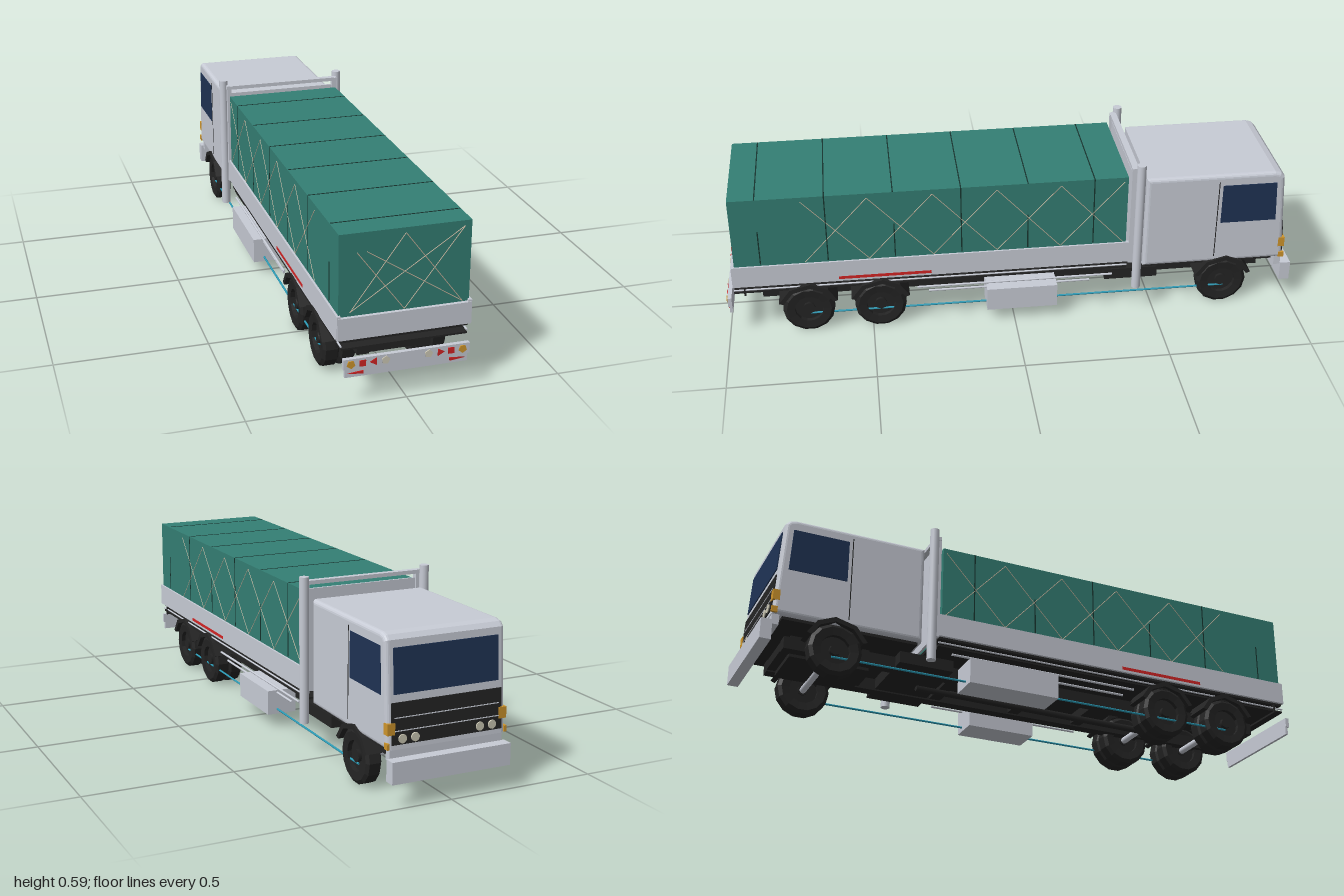
import * as THREE from 'three';

const mat = (name, color) => {
  const m = new THREE.MeshStandardMaterial({ color });
  m.name = name;
  return m;
};

export function createModel() {
  const silver = mat('silver paint', 0xc8ccd6);
  const teal = mat('teal tarpaulin', 0x347f74);
  const seamTeal = mat('dark seam', 0x17352f);
  const black = mat('black', 0x242424);
  const glass = mat('navy glass', 0x1f3354);
  const red = mat('red', 0xd42424);
  const amber = mat('amber', 0xd0962c);
  const cream = mat('cream lamp', 0xd0ccb8);
  const rope = mat('rope', 0xcbb8a0);
  const cyan = mat('cyan pipe', 0x2a9ab5);

  const truck = new THREE.Group();
  truck.name = 'truck';

  const add = (name, geo, m, x = 0, y = 0, z = 0, parent = truck) => {
    const mesh = new THREE.Mesh(geo, m);
    mesh.name = name;
    mesh.position.set(x, y, z);
    parent.add(mesh);
    return mesh;
  };
  // box given by its limits
  const box = (name, m, x0, x1, y0, y1, z0, z1) =>
    add(name, new THREE.BoxGeometry(x1 - x0, y1 - y0, z1 - z0), m, (x0 + x1) / 2, (y0 + y1) / 2, (z0 + z1) / 2);
  // straight round bar between two points
  const bar = (name, m, a, b, r, sides = 14) => {
    const p = new THREE.Vector3(...a), q = new THREE.Vector3(...b);
    const d = q.clone().sub(p);
    const mesh = add(name, new THREE.CylinderGeometry(r, r, d.length(), sides), m);
    mesh.position.copy(p).add(q).multiplyScalar(0.5);
    mesh.quaternion.setFromUnitVectors(new THREE.Vector3(0, 1, 0), d.normalize());
    return mesh;
  };
  // side profile of [z, y] points, extruded across x
  const profile = (name, m, pts, x, width, bevel = 0) => {
    const shape = new THREE.Shape(pts.map(([z, y]) => new THREE.Vector2(z, y)));
    const depth = width - 2 * bevel;
    const geo = new THREE.ExtrudeGeometry(shape, {
      depth, bevelEnabled: bevel > 0, bevelSize: bevel, bevelThickness: bevel, bevelOffset: -bevel, bevelSegments: 4,
    });
    geo.rotateY(-Math.PI / 2);
    return add(name, geo, m, x + depth / 2);
  };

  // cab shell with sloping front
  profile('cab', silver, [[-0.966, 0.175], [-0.945, 0.505], [-0.932, 0.519], [-0.91, 0.525],
    [-0.458, 0.525], [-0.458, 0.175]], 0, 0.41, 0.014);
  box('cabFloor', black, -0.19, 0.19, 0.165, 0.178, -0.93, -0.47);
  const slope = 0.0636;
  const frontPlate = (name, m, x, y, w, h, lift = 0.0005) => {
    const p = add(name, new THREE.BoxGeometry(w, h, 0.006), m, x, y, -0.945 - (0.505 - y) * slope - lift);
    p.rotation.x = slope;
    return p;
  };
  frontPlate('windscreen', glass, 0, 0.412, 0.36, 0.14);
  frontPlate('grille', black, 0, 0.254, 0.38, 0.128);
  for (const y of [0.232, 0.272]) frontPlate('grilleTrim', silver, 0, y, 0.36, 0.003, 0.002);
  for (const s of [-1, 1]) {
    for (const x of [0.112, 0.155]) {
      const lamp = add('headlight', new THREE.CylinderGeometry(0.014, 0.014, 0.008, 14), cream, s * x, 0.208, -0.967);
      lamp.rotation.x = Math.PI / 2;
    }
    box('indicator', amber, s * 0.193 - 0.013, s * 0.193 + 0.013, 0.222, 0.258, -0.968, -0.945);
    box('sideIndicator', amber, s * 0.203 - 0.004, s * 0.203 + 0.004, 0.178, 0.198, -0.97, -0.95);
    profile('sideWindow', glass, [[-0.925, 0.337], [-0.917, 0.485], [-0.727, 0.485], [-0.727, 0.337]], s * 0.2045, 0.006);
    box('doorSeam', black, s * 0.2045 - 0.0015, s * 0.2045 + 0.0015, 0.2, 0.5, -0.715, -0.712);
    box('dripRail', black, s * 0.195 - 0.003, s * 0.195 + 0.003, 0.515, 0.519, -0.9, -0.53);
  }
  box('frontValance', silver, -0.195, 0.195, 0.14, 0.18, -0.964, -0.94);
  box('frontBumper', silver, -0.205, 0.205, 0.08, 0.15, -1, -0.963);

  // chassis
  for (const s of [-1, 1]) {
    box('chassisRail', black, s * 0.1 - 0.02, s * 0.1 + 0.02, 0.1, 0.142, -0.9, 0.88);
    bar('sideRail', silver, [s * 0.2, 0.15, -0.35], [s * 0.2, 0.15, 0.34], 0.004);
    bar('lowerSideRail', silver, [s * 0.19, 0.126, -0.27], [s * 0.19, 0.126, 0.3], 0.004);
    bar('pipe', cyan, [s * 0.19, 0.066, -0.76], [s * 0.19, 0.066, 0.72], 0.0035);
  }
  for (const z of [-0.88, -0.6, -0.3, 0, 0.25, 0.6, 0.86])
    box('crossMember', black, -0.1, 0.1, 0.105, 0.138, z - 0.02, z + 0.02);
  box('gearbox', black, -0.165, 0.165, 0.105, 0.145, -0.52, -0.33);
  box('engine', black, -0.085, 0.085, 0.09, 0.165, -0.87, -0.6);
  bar('driveShaft', black, [0, 0.1, -0.4], [0, 0.09, 0.6], 0.012, 8);
  box('subFloor', black, -0.2, 0.2, 0.173, 0.179, -0.4, 0.97);
  box('rearSill', black, -0.205, 0.205, 0.166, 0.2, 0.93, 0.936);
  box('rightTank', silver, 0.12, 0.226, 0.05, 0.135, -0.15, 0.098);
  box('leftTank', silver, -0.228, -0.12, 0.05, 0.137, -0.295, 0.03);

  // wheels, axles and mudguards
  const tyre = new THREE.LatheGeometry([[0.05, -0.024], [0.078, -0.027], [0.09, -0.019], [0.09, 0.019],
    [0.078, 0.027], [0.05, 0.024], [0.05, -0.024]].map(([r, y]) => new THREE.Vector2(r, y)), 14).toNonIndexed();
  tyre.computeVertexNormals();
  tyre.rotateZ(Math.PI / 2);
  const disc = new THREE.CylinderGeometry(0.051, 0.051, 0.018, 12).rotateZ(Math.PI / 2);
  const hub = new THREE.CylinderGeometry(0.018, 0.022, 0.034, 8).rotateZ(Math.PI / 2);
  const guard = (s, z, x0, x1) => {
    const arc = [20, 55, 95, 130, 160].map((d) => d * Math.PI / 180);
    const ring = (r, list) => list.map((a) => [z + r * Math.cos(a), 0.09 + r * Math.sin(a)]);
    const pts = [...ring(0.108, arc), ...ring(0.092, [...arc].reverse())];
    profile('mudguard', black, pts, s * (x0 + x1) / 2, x1 - x0);
  };
  for (const z of [0.72, 0.47, -0.75]) {
    bar('axle', silver, [-0.17, 0.09, z], [0.17, 0.09, z], 0.012, 8);
    for (const s of [-1, 1]) {
      for (const x of z > 0 ? [0.123, 0.177] : [0.175]) {
        const wheel = new THREE.Group();
        wheel.name = 'wheel';
        wheel.position.set(s * x, 0.09, z);
        truck.add(wheel);
        add('tyre', tyre, black, 0, 0, 0, wheel);
        add('wheelDisc', disc, black, 0, 0, 0, wheel);
        add('hub', hub, black, s * 0.004, 0, 0, wheel);
      }
      guard(s, z, z > 0 ? 0.09 : 0.14, 0.213);
    }
  }

  // load bed
  box('bedFloor', black, -0.203, 0.203, 0.198, 0.21, -0.4, 0.965);
  for (const s of [-1, 1]) {
    box('sideBoard', silver, s * 0.207 - 0.006, s * 0.207 + 0.006, 0.206, 0.285, -0.41, 0.97);
    box('sideReflector', red, s * 0.2125 - 0.001, s * 0.2125 + 0.001, 0.214, 0.225, 0.29, 0.61);
    bar('bedEdge', silver, [s * 0.2, 0.186, -0.4], [s * 0.2, 0.186, 0.97], 0.003);
  }
  box('tailBoard', silver, -0.21, 0.21, 0.206, 0.278, 0.958, 0.972);

  // headboard frame with tall round posts
  for (const s of [-1, 1]) {
    bar('post', silver, [s * 0.221, 0.105, -0.432], [s * 0.221, 0.595, -0.432], 0.016);
    box('headboardUpright', silver, s * 0.205 - 0.008, s * 0.205 + 0.008, 0.2, 0.577, -0.422, -0.402);
  }
  box('headboardTopBar', silver, -0.215, 0.215, 0.565, 0.578, -0.425, -0.403);
  box('headboardPanel', silver, -0.2, 0.2, 0.205, 0.55, -0.416, -0.408);

  // tarpaulin-covered load with seams
  box('tarpaulin', teal, -0.206, 0.206, 0.21, 0.542, -0.392, 0.96);
  for (let i = 0; i < 6; i++) {
    const z = 0.87 - i * 0.229;
    box('topSeam', seamTeal, -0.204, 0.204, 0.54, 0.543, z - 0.002, z + 0.002);
    for (const s of [-1, 1])
      box('sideSeam', seamTeal, s * 0.206 - 0.001, s * 0.206 + 0.001, 0.29, i % 2 ? 0.542 : 0.42, z - 0.002, z + 0.002);
  }

  // crossed lashing ropes
  const step = 0.22, lo = 0.287, hi = 0.525, thin = 0.0013;
  for (const s of [-1, 1])
    for (let i = 0; i < 5; i++) {
      const z = 0.72 - i * step, x = s * 0.206;
      bar('sideRope', rope, [x, lo, z], [x, hi, z - step], thin);
      bar('sideRope', rope, [x, hi, z], [x, lo, z - step], thin);
    }
  for (const [x0, y0, x1, y1] of [[-0.17, 0.29, 0, 0.525], [0, 0.525, 0.185, 0.28],
    [-0.17, 0.29, 0.185, 0.525], [0.185, 0.525, 0, 0.28], [0, 0.28, -0.15, 0.48], [-0.12, 0.48, 0.185, 0.28]])
    bar('rearRope', rope, [x0, y0, 0.96], [x1, y1, 0.96], thin);

  // rear light bar
  box('lightBarUpper', silver, -0.2, 0.2, 0.121, 0.155, 0.982, 0.996);
  box('lightBarLower', silver, -0.195, 0.195, 0.093, 0.121, 0.982, 0.992);
  const lamp = (m, x, y, z, sides, turn, sx = 1, sy = 1) => {
    const geo = new THREE.CylinderGeometry(0.0135, 0.0135, 0.006, sides).rotateY(turn).rotateX(Math.PI / 2);
    add('rearLamp', geo, m, x, y, z).scale.set(sx, sy, 1);
  };
  for (const s of [-1, 1]) {
    lamp(amber, s * 0.177, 0.138, 0.997, 5, 0);
    lamp(red, s * 0.14, 0.138, 0.997, 4, Math.PI / 4);
    lamp(red, s * 0.104, 0.138, 0.997, 3, s * Math.PI / 2);
    lamp(cream, s * 0.068, 0.138, 0.997, 5, 0.5);
    lamp(red, s * 0.153, 0.107, 0.993, 3, s * Math.PI / 2, 2.4, 0.42);
  }
  return truck;
}
